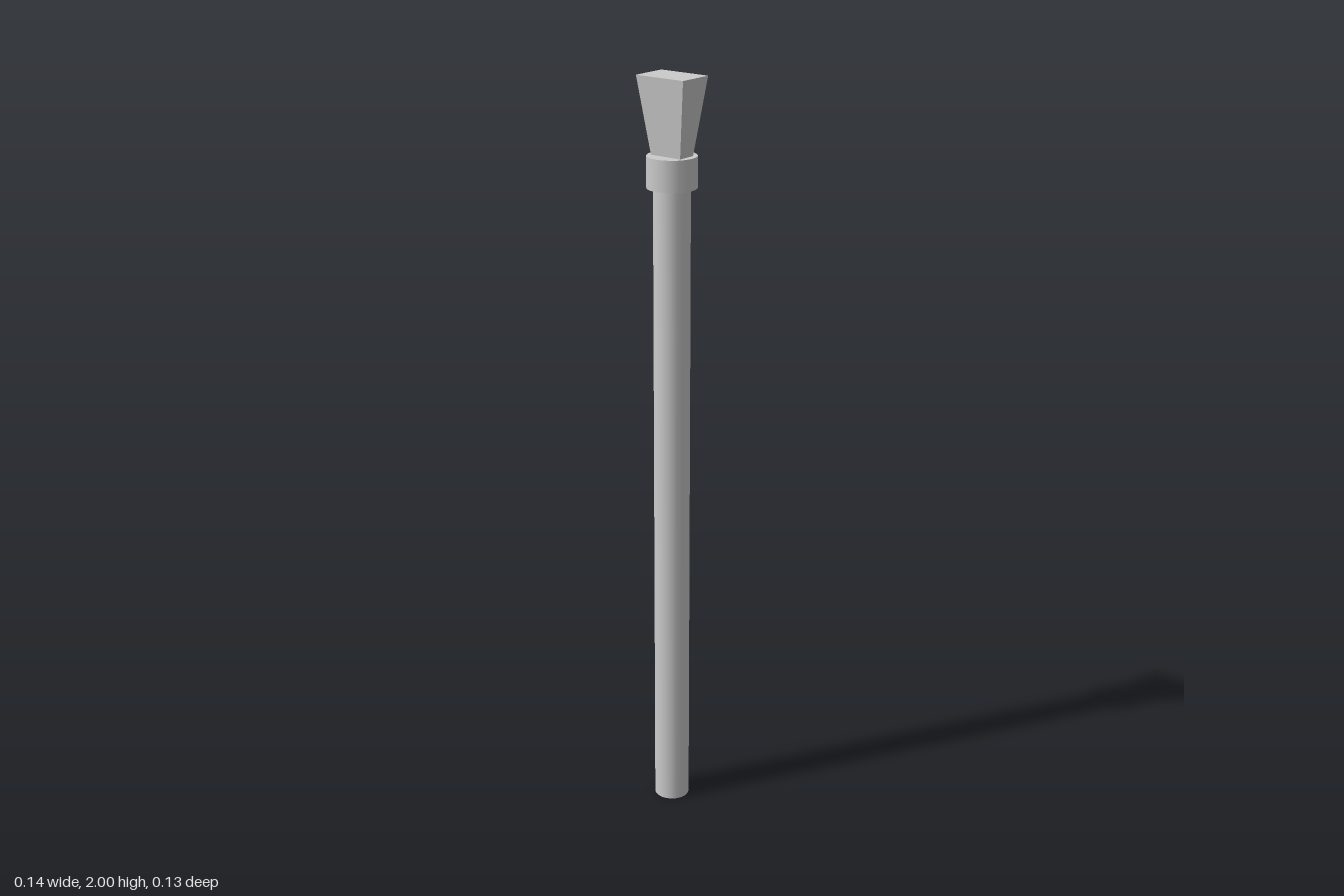
import * as THREE from 'three';

export function createModel() {
  const group = new THREE.Group();
  const material = new THREE.MeshStandardMaterial({ color: 0xcccccc });
  const flatMaterial = new THREE.MeshStandardMaterial({ color: 0xcccccc, flatShading: true });

  const add = (name, geometry, y0, y1, mat = material) => {
    const mesh = new THREE.Mesh(geometry, mat);
    mesh.name = name;
    mesh.position.y = (y0 + y1) / 2;
    group.add(mesh);
  };
  const rod = (name, radius, y0, y1) =>
    add(name, new THREE.CylinderGeometry(radius, radius, y1 - y0, 20), y0, y1);

  // Long round handle and the wider collar at its top
  rod('handle', 0.047, 0, 1.75);
  rod('collar', 0.064, 1.725, 1.805);

  // Flared rectangular head: a box narrowed towards its foot
  const y0 = 1.8, y1 = 2;
  const head = new THREE.BoxGeometry(0.145, y1 - y0, 0.098);
  const p = head.attributes.position;
  for (let i = 0; i < p.count; i++) {
    if (p.getY(i) < 0) {
      p.setX(i, Math.sign(p.getX(i)) * 0.045);
      p.setZ(i, Math.sign(p.getZ(i)) * 0.025);
    }
  }
  head.computeVertexNormals();
  add('flaredHead', head, y0, y1, flatMaterial);

  return group;
}
